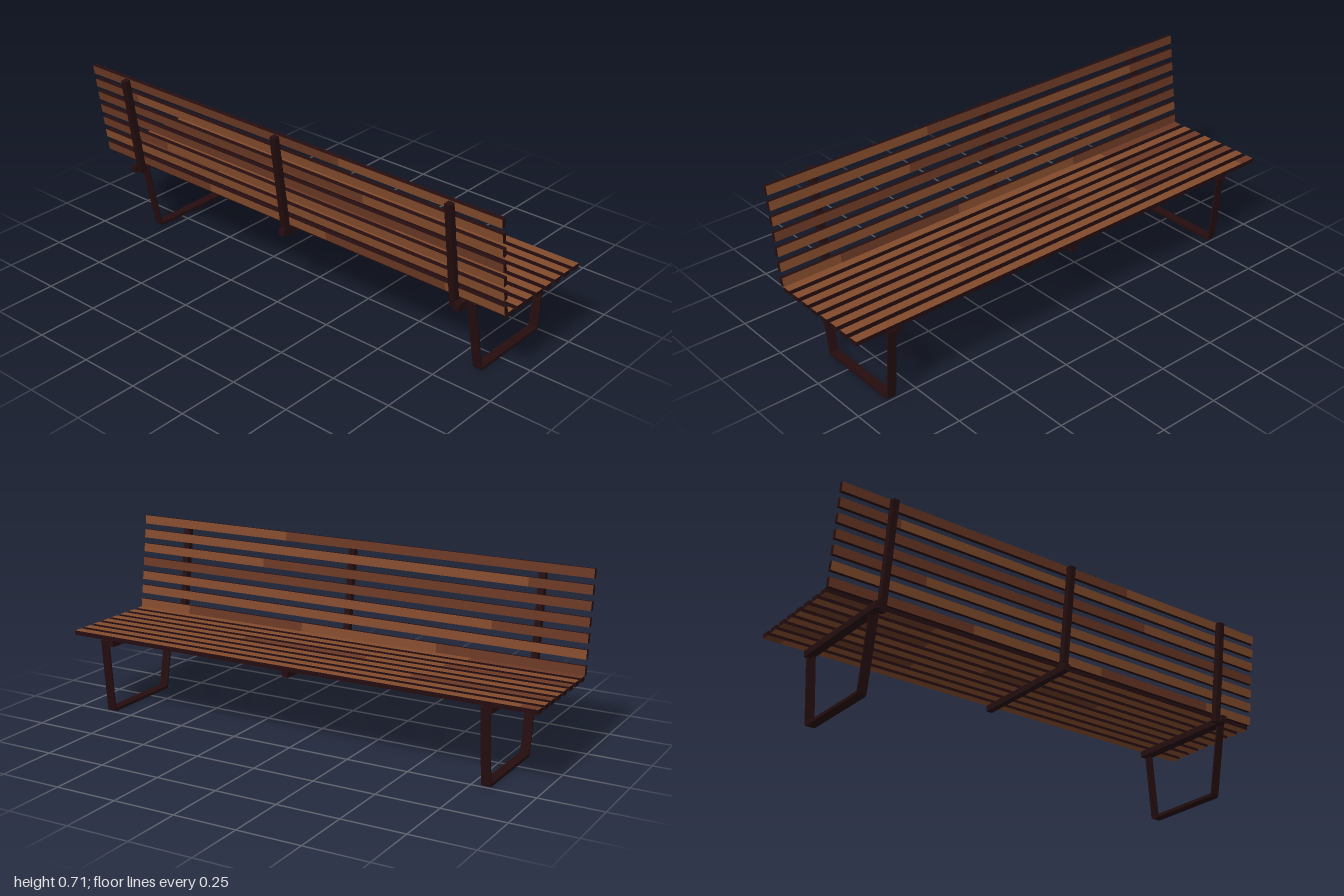
import * as THREE from 'three';

export function createModel() {
  const bench = new THREE.Group();
  bench.name = 'bench';

  const mat = (name, color) => {
    const m = new THREE.MeshStandardMaterial({ color });
    m.name = name;
    return m;
  };
  const lightWood = mat('lightWood', 0x824a2c);
  const darkWood = mat('darkWood', 0x693824);
  const darkBrown = mat('darkBrown', 0x240d0f);

  const box = (name, w, h, d, x, y, z, material, parent = bench) => {
    const mesh = new THREE.Mesh(new THREE.BoxGeometry(w, h, d), material);
    mesh.name = name;
    mesh.position.set(x, y, z);
    parent.add(mesh);
    return mesh;
  };

  // A full-length slat with dark edges; its broad faces change tone at the given z values.
  // broadAxis 0: broad faces on +-x, 1: broad faces on +-y. Tones run from +z to -z.
  const slat = (name, w, h, broadAxis, cuts, startLight) => {
    const group = new THREE.Group();
    group.name = name;
    const stops = [1, ...cuts, -1];
    for (let i = 0; i < stops.length - 1; i++) {
      const wood = (i % 2 === 0) === startLight ? lightWood : darkWood;
      const mats = Array(6).fill(darkBrown);
      mats[broadAxis * 2] = mats[broadAxis * 2 + 1] = wood;
      box(name + 'Board', w, h, stops[i] - stops[i + 1], 0, 0, (stops[i] + stops[i + 1]) / 2, mats, group);
    }
    bench.add(group);
    return group;
  };

  // Seat slats
  const seatCuts = [[-0.55], [], [-0.5], [0.35, -0.2], [], [-0.45], [], [-0.93]];
  seatCuts.forEach((cuts, i) => {
    slat('seatSlat', 0.037, 0.018, 1, cuts, true).position.set(-0.16 + i * 0.0588, 0.317, 0);
  });

  // Leaning backrest slats, bottom to top
  const tilt = 0.137;
  const backCuts = [[0.75, 0.2, -0.4], [], [-0.62], [], [0.4], [-0.75], [0.3]];
  backCuts.forEach((cuts, i) => {
    const s = slat('backSlat', 0.018, 0.035, 0, cuts, i !== 3);
    s.position.set(-0.188 - i * 0.00817, 0.342 + i * 0.059, 0);
    s.rotation.z = tilt;
  });

  // Backrest posts
  for (const z of [-0.794, 0.006, 0.796]) {
    box('backPost', 0.027, 0.427, 0.025, -0.2365 + 0.0065, 0.4965, z, darkBrown).rotation.z = tilt;
  }

  // Seat rails
  for (const z of [-0.819, 0.006, 0.821]) {
    box('seatRail', 0.497, 0.028, 0.026, 0.0215, 0.297, z, darkBrown);
  }

  // Flat-bar leg loops with rounded lower corners
  const outline = new THREE.Shape();
  outline.moveTo(-0.178, 0.305);
  outline.lineTo(-0.1205, 0.014);
  outline.quadraticCurveTo(-0.117, 0.002, -0.108, 0.002);
  outline.lineTo(0.232, 0.002);
  outline.quadraticCurveTo(0.242, 0.002, 0.2435, 0.012);
  outline.lineTo(0.27, 0.305);
  outline.closePath();
  const opening = new THREE.Path();
  opening.moveTo(-0.169, 0.296);
  opening.lineTo(0.2625, 0.296);
  opening.lineTo(0.237, 0.0145);
  opening.lineTo(-0.1135, 0.0145);
  opening.closePath();
  outline.holes.push(opening);
  const legGeometry = new THREE.ExtrudeGeometry(outline, { depth: 0.037, bevelEnabled: false, curveSegments: 5 });
  legGeometry.translate(0, -0.002, -0.0185);
  for (const z of [-0.805, 0.85]) {
    const leg = new THREE.Mesh(legGeometry, darkBrown);
    leg.name = 'legFrame';
    leg.position.z = z;
    bench.add(leg);
  }

  return bench;
}
